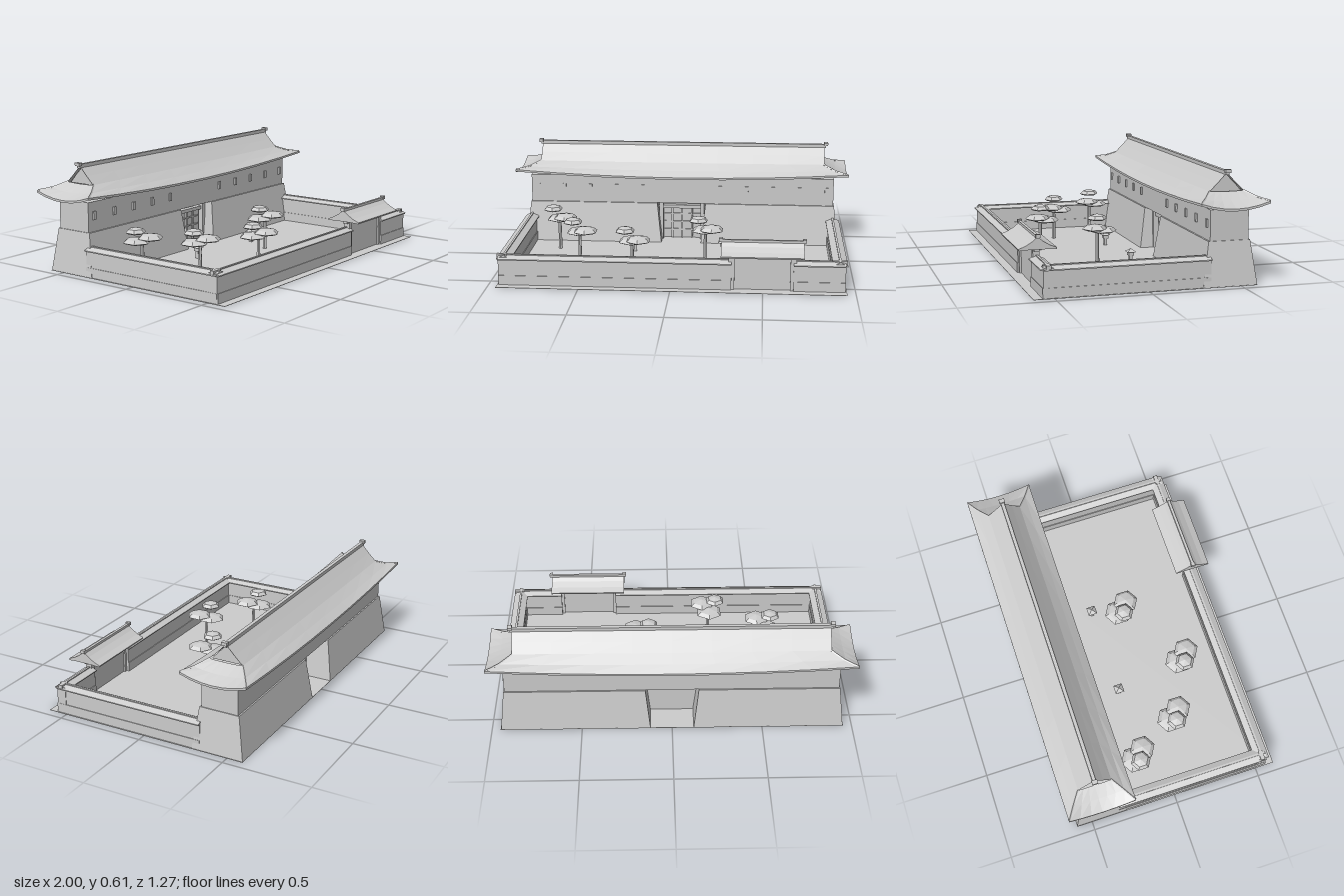
import * as THREE from 'three';

const stone = new THREE.MeshStandardMaterial({ color: 0xcccccc, flatShading: true, side: THREE.DoubleSide });
stone.name = 'pale stone grey';

function add(parent, name, geometry, x = 0, y = 0, z = 0) {
  const mesh = new THREE.Mesh(geometry, stone);
  mesh.name = name;
  mesh.position.set(x, y, z);
  parent.add(mesh);
  return mesh;
}

// Box given by its two extreme corners
function block(parent, name, [x0, y0, z0], [x1, y1, z1]) {
  return add(parent, name, new THREE.BoxGeometry(x1 - x0, y1 - y0, z1 - z0),
    (x0 + x1) / 2, (y0 + y1) / 2, (z0 + z1) / 2);
}

// Box whose four sides lean inwards
function taperedBlock(w, h, d, inX, inZ) {
  const geo = new THREE.BoxGeometry(w, h, d).translate(0, h / 2, 0);
  const p = geo.attributes.position;
  for (let i = 0; i < p.count; i++) {
    if (p.getY(i) < h / 2) continue;
    p.setX(i, p.getX(i) - Math.sign(p.getX(i)) * inX);
    p.setZ(i, p.getZ(i) - Math.sign(p.getZ(i)) * inZ);
  }
  return geo;
}

// Symmetric cross-section (half profile from apex outwards) run along x
function prism(half, length) {
  const left = half.map(([d, y]) => new THREE.Vector2(-d, y)).reverse();
  const right = half.map(([d, y]) => new THREE.Vector2(d, y));
  const shape = new THREE.Shape([...left, ...right.slice(half[0][0] === 0 ? 1 : 0)]);
  return new THREE.ExtrudeGeometry(shape, { depth: length, bevelEnabled: false })
    .translate(0, 0, -length / 2).rotateY(Math.PI / 2);
}

// Sheet from a function of row and column
function sheet(rows, cols, point) {
  const pos = [], index = [];
  for (let r = 0; r <= rows; r++) for (let c = 0; c <= cols; c++) {
    pos.push(...point(r, (c / cols) * 2 - 1));
    if (r < rows && c < cols) {
      const a = r * (cols + 1) + c, b = a + cols + 1;
      index.push(a, b, a + 1, b, b + 1, a + 1);
    }
  }
  const geo = new THREE.BufferGeometry();
  geo.setAttribute('position', new THREE.Float32BufferAttribute(pos, 3));
  geo.setIndex(index);
  geo.computeVertexNormals();
  return geo;
}

// Hip-and-gable roof: rows are [distance from ridge, half length, height, corner lift]
function mainRoof() {
  const roof = new THREE.Group();
  roof.name = 'mainRoof';
  const rows = [
    [0, 0.86, 0.588, 0], [0.05, 0.86, 0.535, 0], [0.095, 0.86, 0.488, 0.003],
    [0.145, 0.93, 0.449, 0.014], [0.19, 1, 0.418, 0.034], [0.19, 1, 0.406, 0.034],
  ];
  for (const s of [-1, 1]) {
    add(roof, 'longSlope', sheet(5, 8, (r, u) => {
      const [d, w, y, lift] = rows[r];
      return [s * u * w, y + lift * u * u, s * d];
    }));
    add(roof, 'endSkirt', sheet(3, 6, (r, u) => {
      const [d, w, y, lift] = rows[r + 2];
      return [s * w, y + lift * u * u, -s * u * d];
    }));
    add(roof, 'gableWall', prism([[0, 0.58], [0.05, 0.53], [0.09, 0.485]], 0.02), s * 0.83);
    block(roof, 'ridgeEnd', [s * 0.87 - 0.012, 0.588, -0.016], [s * 0.87 + 0.012, 0.606, 0.016]);
    // Hip ridges running out to the corners
    for (const t of [-1, 1]) {
      const path = new THREE.CatmullRomCurve3(rows.slice(2, 5).map(([d, w, y, l]) =>
        new THREE.Vector3(s * w * 0.995, y + l, t * d * 0.99)));
      add(roof, 'hipRidge', new THREE.TubeGeometry(path, 4, 0.006, 4));
    }
  }
  block(roof, 'ridge', [-0.87, 0.575, -0.01], [0.87, 0.597, 0.01]);
  roof.position.z = -0.445;
  return roof;
}

function keep() {
  const g = new THREE.Group();
  g.name = 'gatehouse';
  // Battered bases either side of the passage
  for (const s of [-1, 1]) {
    add(g, 'batteredBase', taperedBlock(0.83, 0.24, 0.3, 0.027, 0.035), s * 0.535, 0, -0.44);
    for (let i = 0; i < 5; i++) {
      const x = s * (0.235 + i * 0.16);
      block(g, 'window', [x - 0.01, 0.307, -0.34], [x + 0.01, 0.352, -0.326]);
    }
    block(g, 'passagePost', [s * 0.125 - 0.012, 0, -0.4], [s * 0.125 + 0.012, 0.24, -0.37]);
  }
  block(g, 'upperStorey', [-0.918, 0.24, -0.547], [0.918, 0.405, -0.335]);
  // Passage doors with bars
  block(g, 'passageDoor', [-0.15, 0, -0.43], [0.15, 0.24, -0.41]);
  block(g, 'passageLintel', [-0.145, 0.195, -0.41], [0.145, 0.215, -0.38]);
  for (const y of [0.05, 0.1, 0.15]) block(g, 'doorRail', [-0.115, y, -0.41], [0.115, y + 0.008, -0.402]);
  for (const x of [-0.06, 0, 0.06]) block(g, 'doorStile', [x - 0.005, 0, -0.41], [x + 0.005, 0.195, -0.4]);
  return g;
}

// Courtyard wall section along x with plinth and tiled cap
function wall(length, x, z, turn = 0) {
  const g = new THREE.Group();
  g.name = 'courtyardWall';
  const h = length / 2;
  block(g, 'wallPlinth', [-h, 0, -0.031], [h, 0.055, 0.031]);
  block(g, 'wallBody', [-h, 0.055, -0.027], [h, 0.148, 0.027]);
  add(g, 'wallCap', prism([[0, 0.167], [0.04, 0.15], [0.04, 0.144]], length));
  block(g, 'wallRidge', [-h, 0.158, -0.006], [h, 0.17, 0.006]);
  g.position.set(x, 0, z);
  g.rotation.y = turn;
  return g;
}

function frontGate() {
  const g = new THREE.Group();
  g.name = 'frontGate';
  for (const s of [-1, 1]) {
    block(g, 'gatePost', [s * 0.167 - 0.016, 0, -0.018], [s * 0.167 + 0.016, 0.215, 0.018]);
    block(g, 'gateRidgeEnd', [s * 0.225 - 0.01, 0.268, -0.012], [s * 0.225 + 0.01, 0.287, 0.012]);
  }
  block(g, 'gateDoor', [-0.155, 0, -0.008], [0.155, 0.195, 0.008]);
  block(g, 'gateLintel', [-0.2, 0.19, -0.014], [0.2, 0.212, 0.014]);
  add(g, 'gateRoof', prism([[0, 0.273], [0.03, 0.248], [0.065, 0.227], [0.103, 0.212], [0.1, 0.203], [0.05, 0.206]], 0.445));
  block(g, 'gateRidge', [-0.23, 0.265, -0.008], [0.23, 0.28, 0.008]);
  g.position.set(0.497, 0, 0.533);
  return g;
}

// Tree of three flat six-sided foliage pads, placed by its top pad
function tree(x, z) {
  const g = new THREE.Group();
  g.name = 'tree';
  const pads = [[0, 0.233, 0, 0.058], [0.078, 0.19, 0.036, 0.073], [0.035, 0.168, -0.025, 0.08]];
  for (const [px, py, pz, r] of pads) {
    const profile = [[0, 0], [r * 0.75, 0], [r, 0.008], [r * 0.72, 0.026], [0, 0.036]];
    add(g, 'foliage', new THREE.LatheGeometry(profile.map(p => new THREE.Vector2(...p)), 6), px, py, pz);
  }
  add(g, 'trunk', new THREE.CylinderGeometry(0.009, 0.012, 0.2, 6), 0.04, 0.1, 0.01);
  g.position.set(x, 0, z);
  return g;
}

function lantern(x, z) {
  const g = new THREE.Group();
  g.name = 'lantern';
  block(g, 'lanternPost', [-0.009, 0, -0.009], [0.009, 0.045, 0.009]);
  block(g, 'lanternBox', [-0.016, 0.045, -0.016], [0.016, 0.066, 0.016]);
  add(g, 'lanternRoof', new THREE.ConeGeometry(0.037, 0.02, 4).rotateY(Math.PI / 4), 0, 0.076, 0);
  g.position.set(x, 0, z);
  return g;
}

export function createModel() {
  const model = new THREE.Group();
  model.name = 'walledCourtyard';
  block(model, 'ground', [-0.953, 0, -0.59], [0.953, 0.002, 0.61]);
  model.add(keep(), mainRoof(), frontGate());
  // Front wall in two lengths, then the side walls
  model.add(wall(1.275, -0.3075, 0.53), wall(0.28, 0.805, 0.53));
  for (const s of [-1, 1]) {
    model.add(wall(0.89, s * 0.915, 0.11, Math.PI / 2));
    block(model, 'cornerCap', [s * 0.925 - 0.028, 0.15, 0.518], [s * 0.925 + 0.028, 0.171, 0.542]);
    model.add(lantern(s * 0.26, -0.11));
  }
  for (const [x, z] of [[-0.755, -0.142], [-0.595, 0.13], [-0.275, 0.29], [0.125, 0.05]]) model.add(tree(x, z));
  return model;
}
